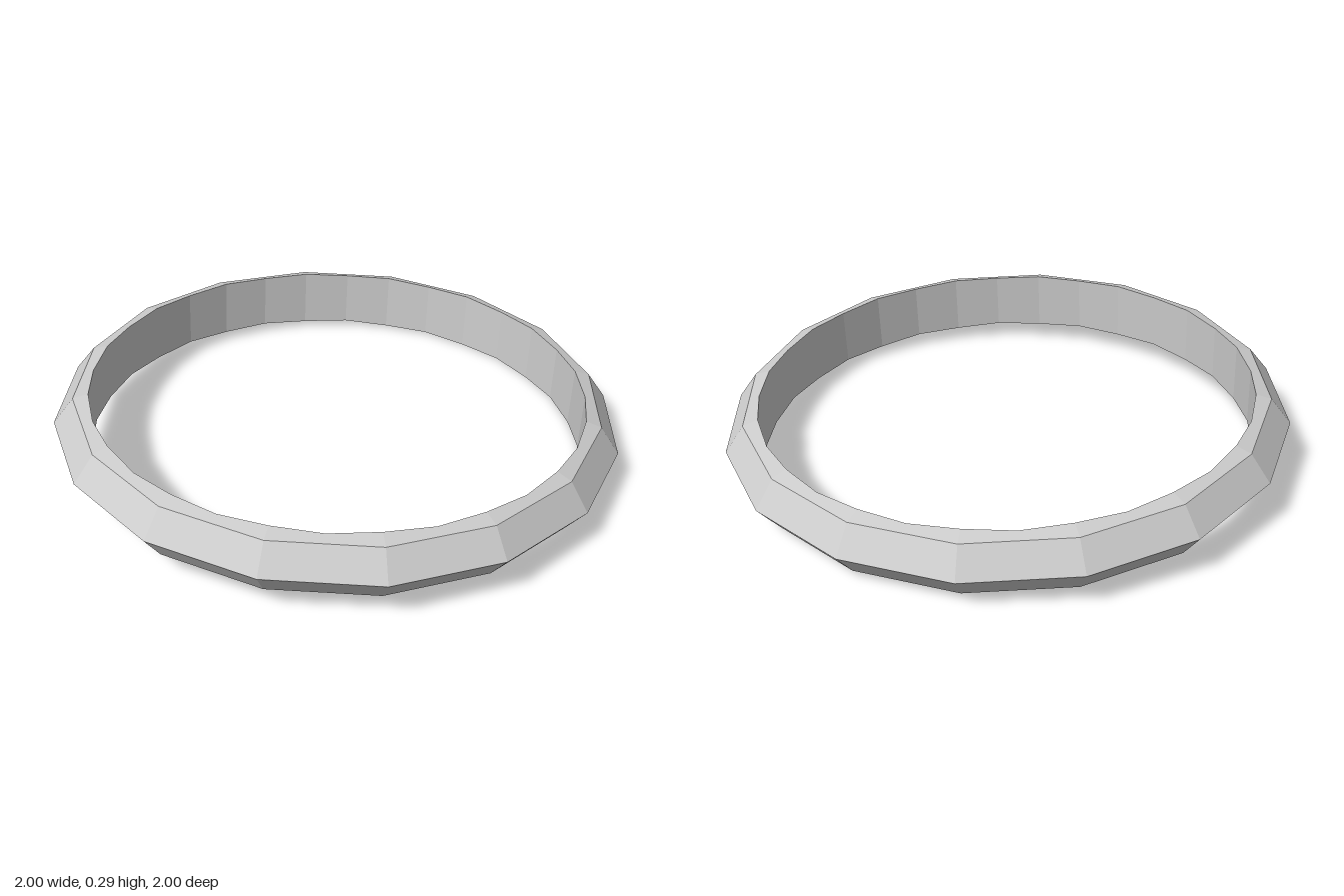
import * as THREE from 'three';

// Faceted 16-sided band with a 32-sided bore, built as a loop of cross-sections.
function ringGeometry() {
  const steps = 32, bore = 0.876;
  const flat = Math.cos(Math.PI / 16); // mid-facet radius of the 16-sided outside
  const positions = [], indices = [];
  for (let i = 0; i < steps; i++) {
    const a = (i / steps) * Math.PI * 2;
    const k = i % 2 ? flat : 1;
    // the bore meets the sloping top and bottom facets, so its rim is slightly wavy
    const rim = 0.093 + (0.93 - bore / k) * 0.296;
    const section = [[k, 0], [0.93 * k, 0.093], [bore, rim], [bore, -rim], [0.93 * k, -0.093]];
    for (const [r, y] of section) positions.push(r * Math.cos(a), y, r * Math.sin(a));
  }
  for (let i = 0; i < steps; i++) {
    for (let j = 0; j < 5; j++) {
      const n = (i + 1) % steps, m = (j + 1) % 5;
      const a = i * 5 + j, b = i * 5 + m, c = n * 5 + m, d = n * 5 + j;
      indices.push(a, b, d, b, c, d);
    }
  }
  const indexed = new THREE.BufferGeometry();
  indexed.setAttribute('position', new THREE.Float32BufferAttribute(positions, 3));
  indexed.setIndex(indices);
  const geometry = indexed.toNonIndexed();
  geometry.computeVertexNormals();
  return geometry;
}

export function createModel() {
  const group = new THREE.Group();
  group.name = 'ring';
  const material = new THREE.MeshStandardMaterial({ color: 0xcccccc, flatShading: true });

  // band, leaning slightly down towards +x
  const band = new THREE.Mesh(ringGeometry(), material);
  band.name = 'band';
  band.position.y = 0.147;
  band.rotation.z = -0.043;
  group.add(band);
  return group;
}
